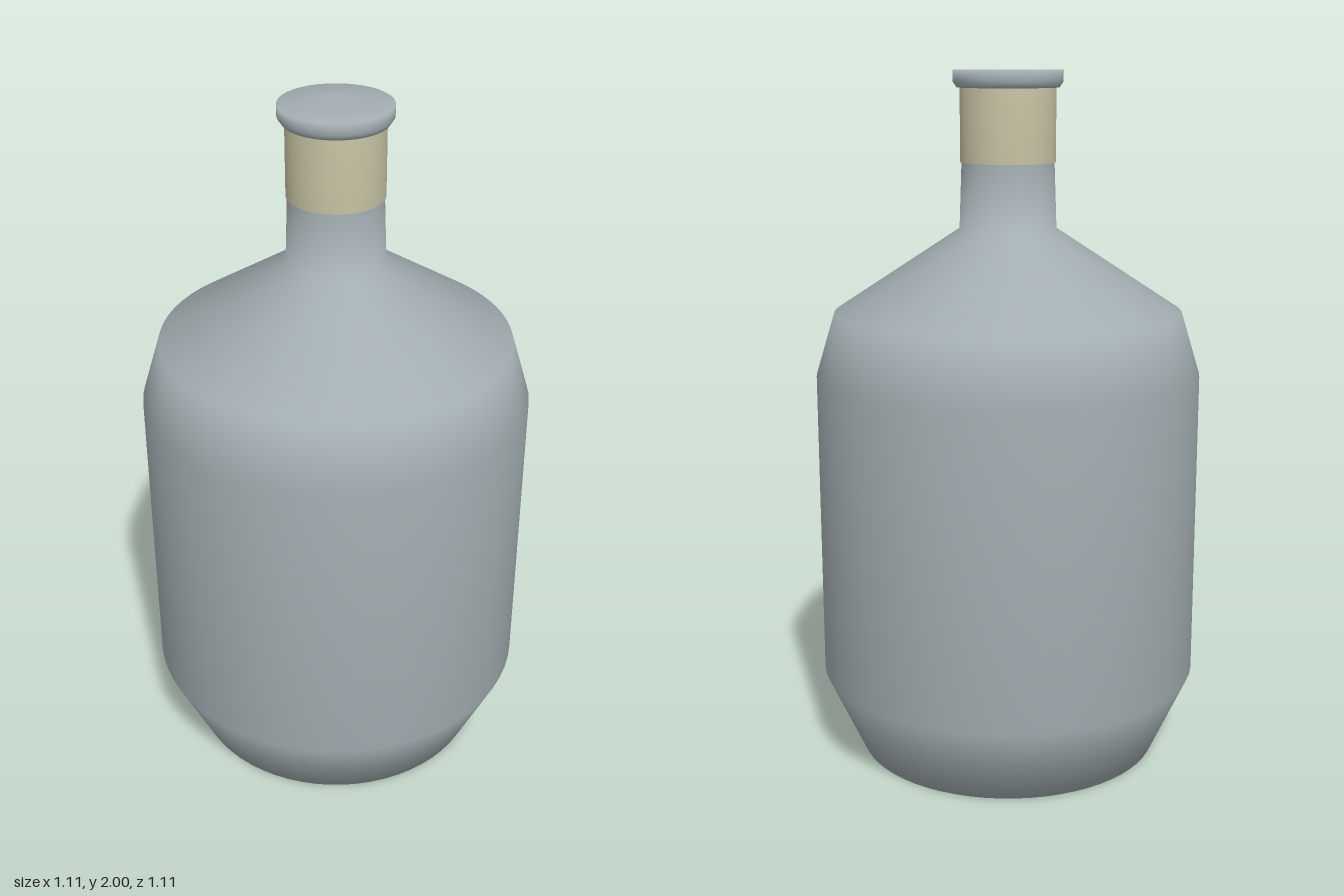
import * as THREE from 'three';

const SEGMENTS = 64;

// Turn a list of [radius, height] points, bottom to top, around the y axis.
function turned(name, points, material) {
  const profile = points.map(([r, y]) => new THREE.Vector2(r, y));
  const mesh = new THREE.Mesh(new THREE.LatheGeometry(profile, SEGMENTS), material);
  mesh.name = name;
  return mesh;
}

export function createModel() {
  const glass = new THREE.MeshStandardMaterial({ name: 'grey glass', color: 0xa3aeb2 });
  const paper = new THREE.MeshStandardMaterial({ name: 'cream seal', color: 0xc8c3a4 });

  const model = new THREE.Group();
  model.name = 'bottle';

  // Closed base, tapered foot, straight wall, shoulder and neck
  model.add(turned('body', [
    [0, 0], [0.445, 0], [0.557, 0.245], [0.557, 1.14], [0.502, 1.32],
    [0.139, 1.558], [0.132, 1.75],
  ], glass));

  // Band wrapped around the upper neck
  model.add(turned('neckBand', [
    [0.13, 1.745], [0.136, 1.745], [0.136, 1.955], [0.13, 1.955],
  ], paper));

  // Flared lip with a closed flat top
  model.add(turned('lip', [
    [0.13, 1.95], [0.145, 1.952], [0.156, 1.968], [0.156, 2], [0.06, 2], [0, 2],
  ], glass));

  return model;
}
